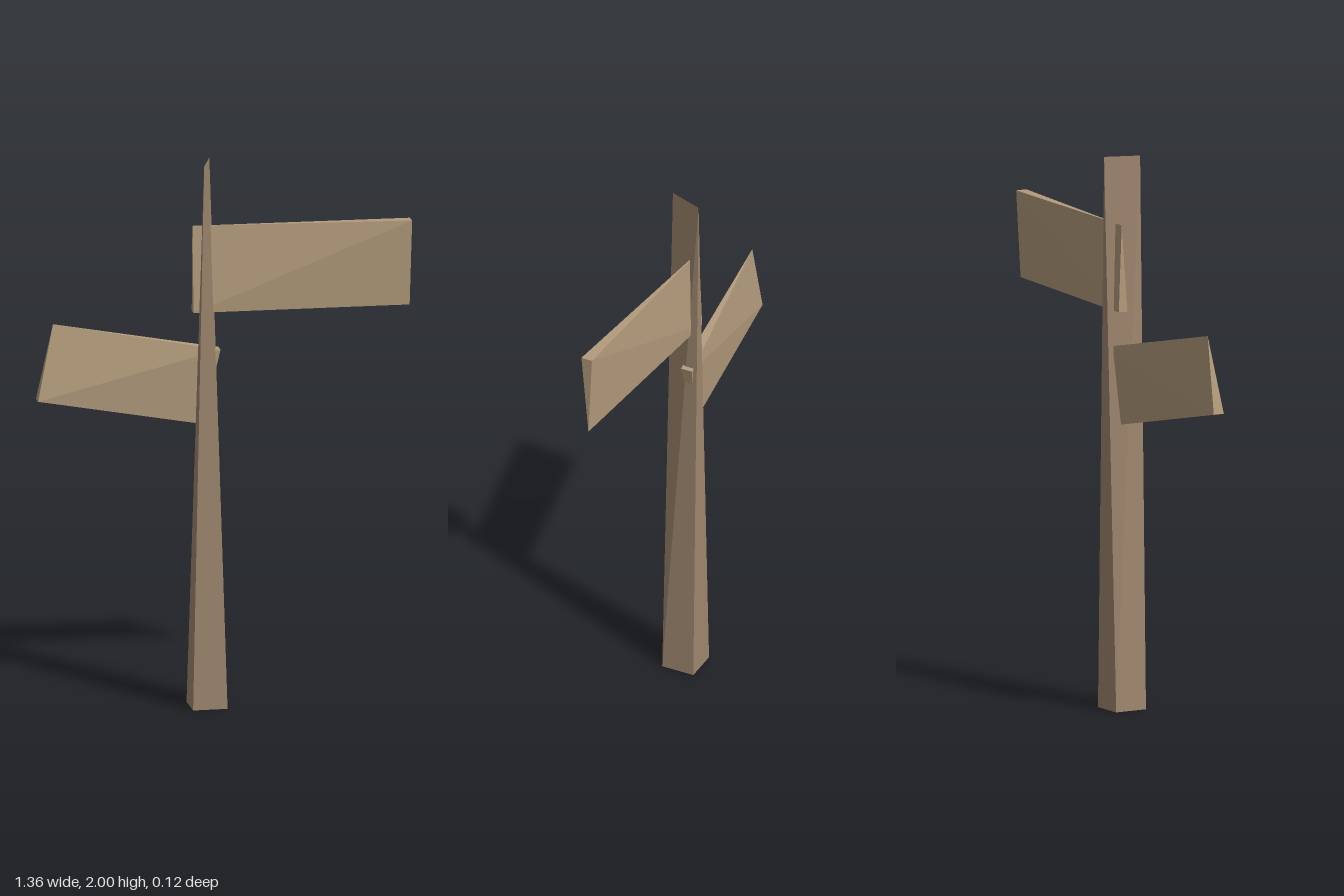
import * as THREE from 'three';
import { ConvexGeometry } from 'three/addons/geometries/ConvexGeometry.js';

const wood = (color) => new THREE.MeshStandardMaterial({ color, flatShading: true });

// Solid spanned by a few corner points
function hewn(name, corners, material) {
  const points = corners.map(([x, y, z]) => new THREE.Vector3(x, y, z));
  const mesh = new THREE.Mesh(new ConvexGeometry(points), material);
  mesh.name = name;
  return mesh;
}

export function createModel() {
  const group = new THREE.Group();
  group.name = 'signpost';
  const postWood = wood(0x9f876e);
  const boardWood = wood(0xb39b7c);

  // Post: square foot tapering to a slanted ridge
  group.add(hewn('post', [
    [-0.12, 0, 0.062], [0.005, 0, 0.062], [0.005, 0, -0.062], [-0.12, 0, -0.062],
    [-0.08, 2, 0.062], [-0.037, 2, -0.062],
  ], postWood));

  // Upper board: thick at the outer top and inner bottom, sharp at the other edges
  group.add(hewn('upperBoard', [
    [0.678, 1.76, 0.047], [0.678, 1.76, 0.005], [0.674, 1.445, 0.021],
    [-0.105, 1.76, -0.03], [-0.105, 1.445, -0.006], [-0.105, 1.445, -0.042],
  ], boardWood));

  // Lower board: tilted, thick at the outer bottom and inner top
  group.add(hewn('lowerBoard', [
    [-0.68, 1.16, 0.047], [-0.68, 1.16, 0.005], [-0.62, 1.435, 0.016],
    [-0.007, 1.305, -0.007], [-0.007, 1.305, -0.05], [-0.068, 1.03, -0.025],
  ], boardWood));

  return group;
}
